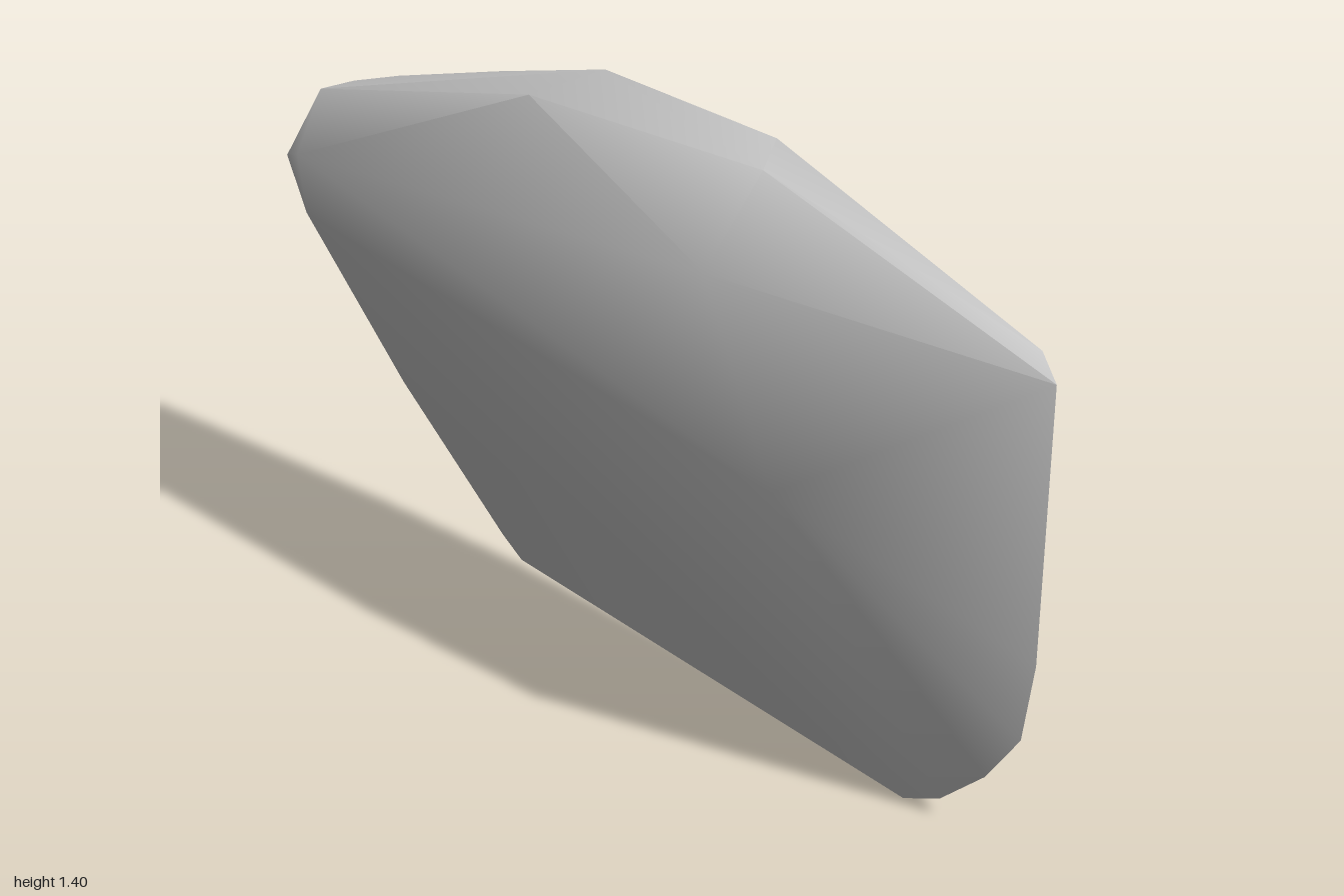
import * as THREE from 'three';
import { ConvexGeometry } from 'three/addons/geometries/ConvexGeometry.js';
import { toCreasedNormals } from 'three/addons/utils/BufferGeometryUtils.js';

export function createModel() {
  const group = new THREE.Group();
  const stone = new THREE.MeshStandardMaterial({ color: 0xc4c4c4 });
  stone.name = 'stone grey';

  // Corners of the raised front band and the chipped end
  const front = [
    [-1, 1.06, 0.15], [-0.93, 0.94, 0.16], [-0.95, 1.08, 0.16],
    [0.31, 1.21, 0.16], [0.5, 0.78, 0.16], [-0.78, 0.5, 0.02],
  ];
  // Crest along the top
  const top = [
    [-1, 1.19, 0.04], [-1, 1.18, -0.06], [-0.32, 1.37, 0.03], [0.32, 1.385, 0],
    [-0.25, 1.4, -0.13], [0.25, 1.395, -0.12], [-0.91, 1.2, -0.12], [0.94, 1.16, -0.12],
  ];
  // Thin rim down both sides and along the foot
  const rim = [
    [1, 1.12, -0.09], [1, 0.47, -0.095], [0.98, 0.28, -0.09], [0.9, 0.15, -0.085],
    [0.79, 0.04, -0.08], [0.7, 0, -0.07], [-0.57, 0.02, -0.15], [-0.63, 0.07, -0.145],
    [-0.86, 0.3, -0.13], [-0.91, 0.44, -0.12],
  ];
  // Softly rounded back
  const back = [
    [-0.6, 1.29, -0.152], [-0.24, 1.385, -0.155], [0.3, 1.33, -0.16], [0.7, 1.2, -0.155],
    [0.9, 1.14, -0.135], [0.9, 0.45, -0.135], [0.7, 0.35, -0.155], [0.72, 0.05, -0.135],
    [0.45, 0.01, -0.155], [-0.15, 0, -0.157], [-0.55, 0.04, -0.157], [-0.7, 0.4, -0.155],
  ];

  const points = [...front, ...top, ...rim, ...back].map(p => new THREE.Vector3(...p));
  const slab = new THREE.Mesh(toCreasedNormals(new ConvexGeometry(points), 0.8), stone);
  slab.name = 'stoneSlab';
  group.add(slab);
  return group;
}
